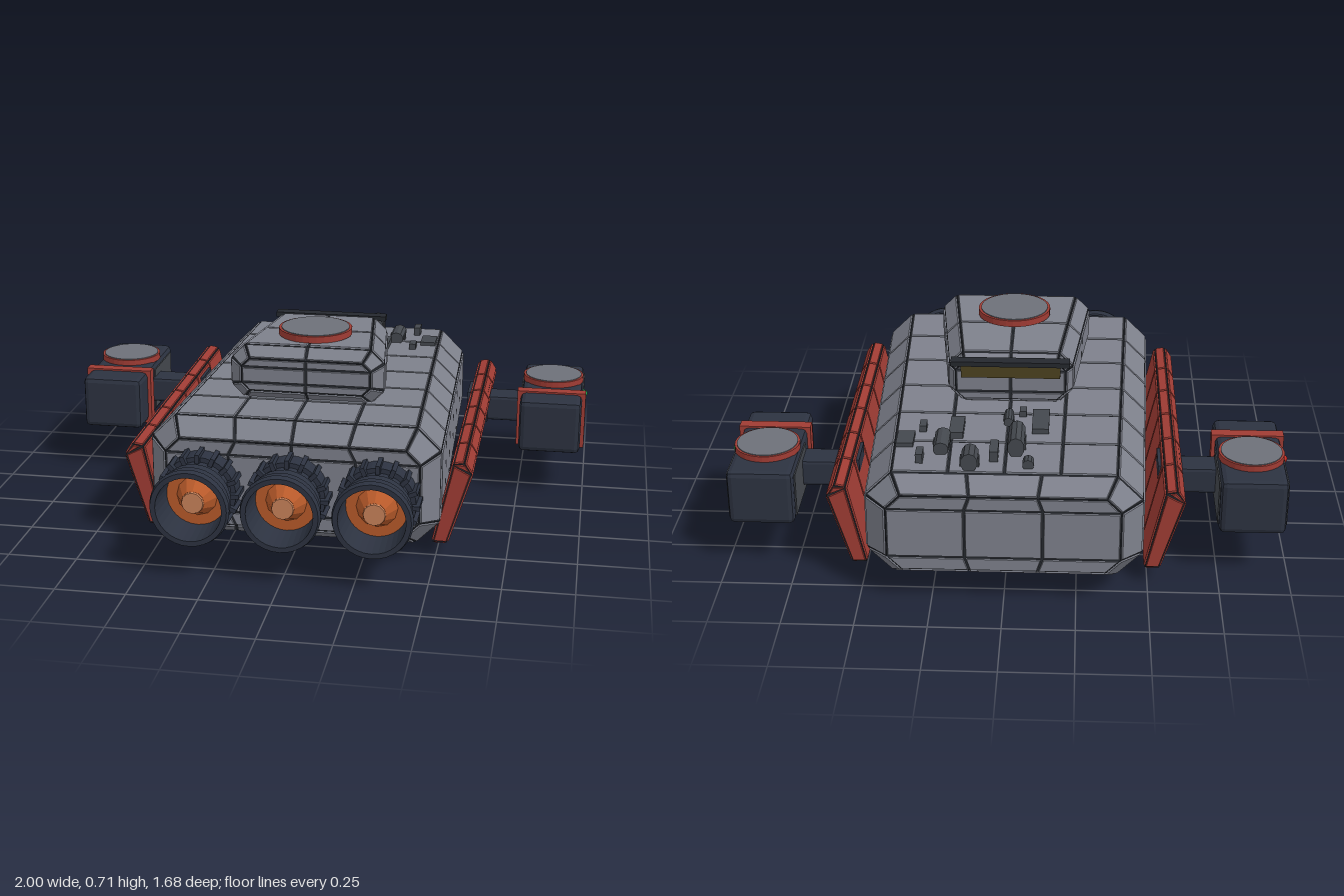
import * as THREE from 'three';
import { RoundedBoxGeometry } from 'three/addons/geometries/RoundedBoxGeometry.js';

const mat = (color) => new THREE.MeshStandardMaterial({ color, flatShading: true, side: THREE.DoubleSide });
const M = {
  hull: mat(0x7d808b), seam: mat(0x25282e), red: mat(0xa03c34), navy: mat(0x2c3240),
  metal: mat(0x44484e), hatch: mat(0x6d7078), glow: mat(0xb85a2a), hub: mat(0xc9825a),
  glass: mat(0x4c4220), green: mat(0x20b050), lamp: mat(0xc02a22),
};

function add(parent, name, geo, material, x = 0, y = 0, z = 0) {
  const mesh = new THREE.Mesh(geo, material);
  mesh.name = name;
  mesh.position.set(x, y, z);
  parent.add(mesh);
  return mesh;
}

// Chamfered eight-sided section, counter-clockwise seen from the front
function octagon(z, w, y0, y1, c) {
  return [[w, y0 + c], [w, y1 - c], [w - c, y1], [c - w, y1], [-w, y1 - c], [-w, y0 + c], [c - w, y0], [w - c, y0]]
    .map(([x, y]) => new THREE.Vector3(x, y, z));
}
const octagonCaps = [[5, 0, 1, 4], [4, 1, 2, 3], [6, 7, 0, 5]];

function quadGeometry(quads) {
  const pos = [];
  for (const [a, b, c, d] of quads) for (const p of [a, b, c, a, c, d]) pos.push(p.x, p.y, p.z);
  const geo = new THREE.BufferGeometry();
  geo.setAttribute('position', new THREE.Float32BufferAttribute(pos, 3));
  geo.computeVertexNormals();
  return geo;
}

// Raised plates covering one quad, with seams left between them
function plates([a, b, c, d], size) {
  const out = [];
  const lu = (a.distanceTo(b) + d.distanceTo(c)) / 2, lv = (a.distanceTo(d) + b.distanceTo(c)) / 2;
  const nu = Math.max(1, Math.round(lu / size)), nv = Math.max(1, Math.round(lv / size));
  const normal = c.clone().sub(a).cross(d.clone().sub(b)).normalize();
  const at = (u, v) => a.clone().lerp(b, u).lerp(d.clone().lerp(c, u), v);
  const ring = (i, j, gap, lift) => {
    const gu = Math.min(gap / lu, 0.3 / nu), gv = Math.min(gap / lv, 0.3 / nv);
    const u0 = i / nu + gu, u1 = (i + 1) / nu - gu, v0 = j / nv + gv, v1 = (j + 1) / nv - gv;
    return [at(u0, v0), at(u1, v0), at(u1, v1), at(u0, v1)].map((p) => p.addScaledVector(normal, lift));
  };
  for (let i = 0; i < nu; i++) {
    for (let j = 0; j < nv; j++) {
      const low = ring(i, j, 0.004, 0), high = ring(i, j, 0.006, 0.005);
      out.push(high);
      for (let k = 0; k < 4; k++) {
        const n = (k + 1) % 4;
        out.push([low[k], low[n], high[n], high[k]]);
      }
    }
  }
  return out;
}

// Dark core lofted through sections (back to front) under a skin of plates
function platedLoft(parent, name, sections, caps, size, material) {
  const quads = [];
  for (let k = 0; k + 1 < sections.length; k++) {
    const s = sections[k], t = sections[k + 1];
    s.forEach((p, i) => {
      const n = (i + 1) % s.length;
      quads.push([p, s[n], t[n], t[i]]);
    });
  }
  const last = sections[sections.length - 1];
  for (const cap of caps) {
    quads.push(cap.map((i) => last[i]));
    quads.push(cap.map((i) => sections[0][i]).reverse());
  }
  add(parent, name + 'Core', quadGeometry(quads), M.seam);
  add(parent, name + 'Plates', quadGeometry(quads.flatMap((q) => plates(q, size))), material);
}

function roundHatch(parent, name, r, x, y, z, h = 0.03) {
  add(parent, name + 'Ring', new THREE.CylinderGeometry(r, r, h * 0.8, 32), M.red, x, y, z);
  add(parent, name, new THREE.CylinderGeometry(r * 0.93, r * 0.93, h, 32), M.hatch, x, y, z);
}

function engine(x) {
  const g = new THREE.Group();
  g.name = 'engine';
  const profile = [[0.115, 0.56], [0.115, 0.72], [0.126, 0.735], [0.118, 0.75], [0.12, 0.775], [0.134, 0.785],
    [0.124, 0.8], [0.128, 0.815], [0.14, 0.825], [0.134, 0.845], [0.116, 0.845], [0.108, 0.7]];
  add(g, 'nozzle', new THREE.LatheGeometry(profile.map((p) => new THREE.Vector2(...p)), 32), M.navy);
  add(g, 'collar', new THREE.CylinderGeometry(0.132, 0.135, 0.13, 32), M.navy, 0, 0.62, 0);
  add(g, 'burner', new THREE.CylinderGeometry(0.111, 0.111, 0.01, 32), M.glow, 0, 0.705, 0);
  add(g, 'burnerCone', new THREE.CylinderGeometry(0.04, 0.075, 0.07, 12), M.glow, 0, 0.74, 0);
  add(g, 'burnerHub', new THREE.CylinderGeometry(0.038, 0.04, 0.012, 12), M.hub, 0, 0.778, 0);
  for (let i = 0; i < 16; i++) {
    const a = (i / 16) * Math.PI * 2;
    const fin = add(g, 'collarFin', new THREE.BoxGeometry(0.03, 0.15, 0.016), M.navy, Math.cos(a) * 0.131, 0.63, Math.sin(a) * 0.131);
    fin.rotation.y = -a;
  }
  g.rotation.x = Math.PI / 2;
  g.position.set(x, 0.265, 0);
  return g;
}

// Sloped armour skirt on one side
function skirt(parent, side) {
  const outline = [[0.49, 0.07], [0.54, 0.07], [0.621, 0.33], [0.595, 0.372], [0.555, 0.365]];
  if (side < 0) outline.reverse();
  const section = (z) => outline.map(([x, y]) => new THREE.Vector3(side * x, y, z));
  const caps = side > 0 ? [[0, 1, 2, 4], [2, 3, 4, 4]] : [[4, 0, 2, 3], [0, 1, 2, 2]];
  platedLoft(parent, side > 0 ? 'leftSkirt' : 'rightSkirt', [section(-0.685), section(0.525)], caps, 0.21, M.red);
}

// Side pod on its arm
function pod(side) {
  const g = new THREE.Group();
  g.name = side > 0 ? 'leftPod' : 'rightPod';
  const x = side * 0.865;
  add(g, 'podBody', new RoundedBoxGeometry(0.235, 0.205, 0.5, 1, 0.02), M.navy, x, 0.283, -0.385);
  add(g, 'podSidePanel', new THREE.BoxGeometry(0.244, 0.16, 0.25), M.metal, x, 0.283, -0.475);
  add(g, 'podBand', new THREE.BoxGeometry(0.262, 0.22, 0.045), M.red, x, 0.282, -0.264);
  roundHatch(g, 'podHatch', 0.117, x, 0.395, -0.435);
  add(g, 'arm', new RoundedBoxGeometry(0.2, 0.1, 0.11, 1, 0.012), M.navy, side * 0.675, 0.283, -0.385);
  add(g, 'armRoot', new THREE.BoxGeometry(0.08, 0.12, 0.14), M.navy, side * 0.575, 0.29, -0.385);
  add(g, 'sideLight', new THREE.SphereGeometry(0.014, 12, 8), side > 0 ? M.green : M.lamp, side * 0.987, 0.35, -0.38);
  return g;
}

// Small fittings: [x, z, width, height, depth, round]
const deckFittings = [
  [-0.035, -0.57, 0.06, 0.075, 0.14, 1], [0.12, -0.705, 0.06, 0.07, 0.08, 1], [0.225, -0.575, 0.055, 0.05, 0.12, 1],
  [0, -0.375, 0.035, 0.035, 0.08, 1], [-0.08, -0.705, 0.04, 0.04, 0.04, 1], [0.04, -0.635, 0.03, 0.045, 0.09, 0],
  [0.355, -0.54, 0.06, 0.022, 0.095, 0], [0.18, -0.455, 0.05, 0.03, 0.13, 0], [-0.115, -0.395, 0.06, 0.025, 0.16, 0],
  [-0.05, -0.33, 0.025, 0.03, 0.04, 0], [0.295, -0.67, 0.025, 0.04, 0.06, 0], [0.3, -0.45, 0.025, 0.03, 0.05, 0],
];
const bellyFittings = [
  [-0.35, 0.43, 0.045, 0.04, 0.045, 1], [0.31, 0.31, 0.06, 0.04, 0.04, 1], [-0.3, 0.08, 0.05, 0.04, 0.06, 1],
  [0.16, -0.07, 0.06, 0.065, 0.13, 1], [0.24, -0.48, 0.05, 0.055, 0.09, 1], [0.31, -0.4, 0.05, 0.045, 0.05, 1],
  [-0.18, 0.2, 0.07, 0.02, 0.11, 0], [0.05, 0.3, 0.05, 0.02, 0.12, 0], [-0.2, -0.5, 0.06, 0.02, 0.1, 0], [0.1, 0.1, 0.09, 0.025, 0.05, 0],
];
function fittings(parent, name, list, surface, dir) {
  for (const [x, z, w, h, d, round] of list) {
    const y = surface(z) + dir * (h / 2 - 0.003);
    if (round) {
      const c = add(parent, name, new THREE.CylinderGeometry(0.5, 0.5, 1, 10).rotateX(Math.PI / 2), M.metal, x, y, z);
      c.scale.set(w, h, d);
      if (d > 0.07) add(parent, name + 'Clamp', new THREE.BoxGeometry(w * 1.1, h * 0.6, d * 0.3), M.metal, x, y - dir * h * 0.2, z);
    } else add(parent, name, new THREE.BoxGeometry(w, h, d), M.metal, x, y, z);
  }
}

export function createModel() {
  const model = new THREE.Group();
  model.name = 'armouredCraft';

  // Hull
  platedLoft(model, 'hull', [
    octagon(-0.835, 0.4, 0.135, 0.42, 0.05), octagon(-0.755, 0.475, 0.085, 0.468, 0.09),
    octagon(0.535, 0.515, 0.07, 0.498, 0.085), octagon(0.612, 0.45, 0.12, 0.435, 0.05),
  ], octagonCaps, 0.23, M.hull);

  // Turret with its rear window and visor
  platedLoft(model, 'turret', [
    octagon(-0.24, 0.2, 0.5, 0.645, 0.03), octagon(-0.2, 0.225, 0.48, 0.668, 0.05),
    octagon(0.28, 0.28, 0.49, 0.69, 0.05), octagon(0.327, 0.235, 0.53, 0.65, 0.03),
  ], octagonCaps, 0.2, M.hull);
  add(model, 'rearWindow', new THREE.BoxGeometry(0.36, 0.05, 0.02), M.glass, 0, 0.615, -0.242);
  add(model, 'visor', new THREE.BoxGeometry(0.43, 0.018, 0.045), M.seam, 0, 0.656, -0.26);
  roundHatch(model, 'turretHatch', 0.135, 0, 0.705, 0.11);

  // Engines
  for (const x of [-0.315, 0, 0.315]) model.add(engine(x));

  // Skirts and pods
  for (const side of [1, -1]) {
    skirt(model, side);
    model.add(pod(side));
  }

  // Deck and belly details
  fittings(model, 'deckFitting', deckFittings, (z) => 0.486 + 0.023 * z, 1);
  fittings(model, 'bellyFitting', bellyFittings, (z) => 0.07 - 0.01 * z, -1);
  roundHatch(model, 'bellyHatch', 0.13, 0, 0.066, -0.235, 0.026);
  return model;
}
